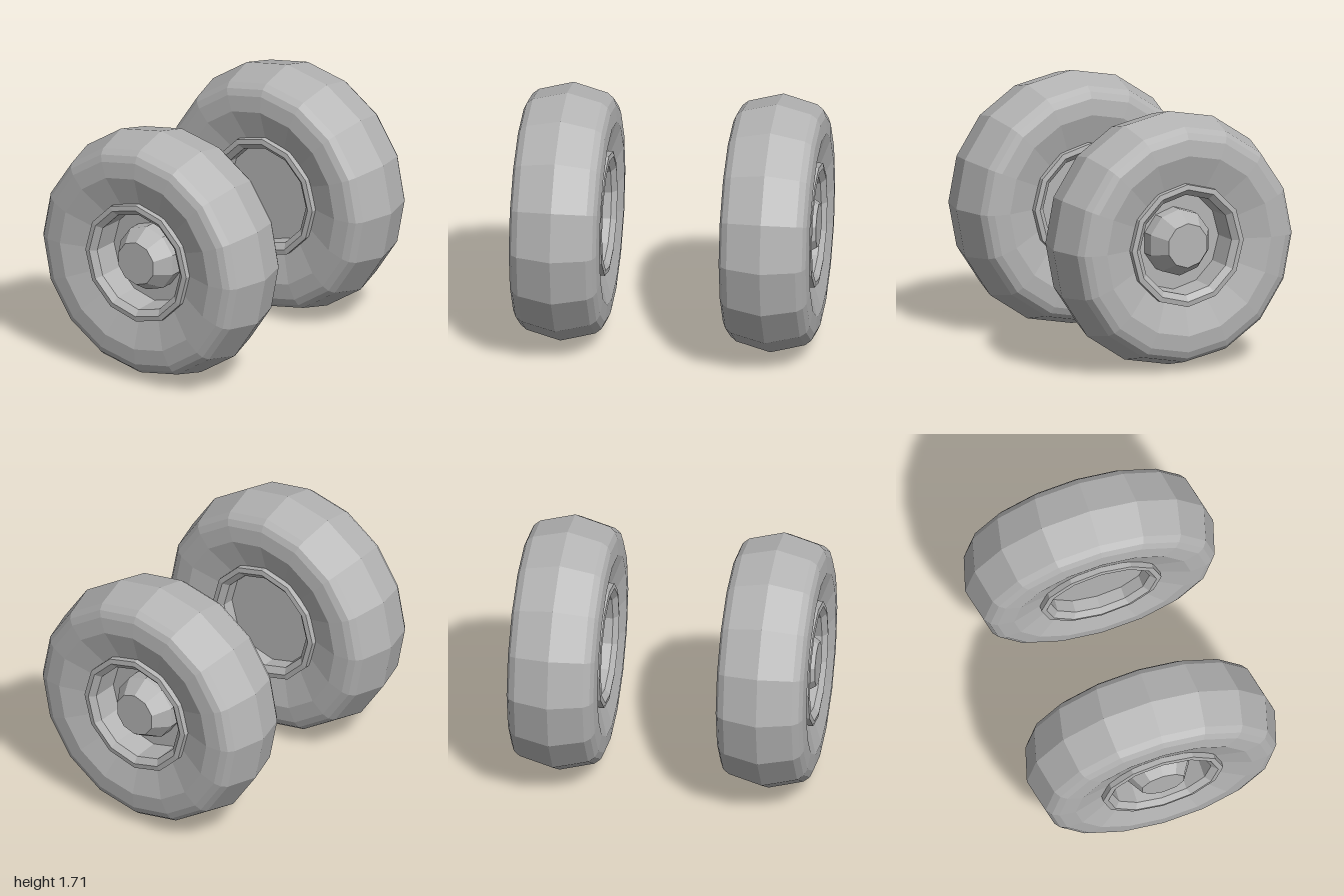
import * as THREE from 'three';

const R = 0.857; // wheel radius, also axle height

const grey = new THREE.MeshStandardMaterial({ color: 0xb4b4b4, flatShading: true });
grey.name = 'plain grey';

// Turn a [radius, z] profile around the axle (z); a profile going from -z to +z faces outward
function turned(name, profile, sides) {
  const geometry = new THREE.LatheGeometry(profile.map(([r, z]) => new THREE.Vector2(r, z)), sides);
  geometry.rotateX(Math.PI / 2);
  const mesh = new THREE.Mesh(geometry, grey);
  mesh.name = name;
  return mesh;
}

function createWheel(name) {
  const wheel = new THREE.Group();
  wheel.name = name;

  // Faceted tyre: crowned tread, rounded shoulders and dished sidewalls
  const half = [[0.857, 0], [0.797, 0.23], [0.765, 0.27], [0.72, 0.29], [0.61, 0.3], [0.37, 0.23]];
  const mirrored = half.slice(1).reverse().map(([r, z]) => [r, -z]);
  wheel.add(turned('tyre', [...mirrored, ...half], 16));

  // Rim: raised lip on both sides, shallow inner pan and deep outer pan
  wheel.add(turned('outerRim', [[0.415, 0.2], [0.415, 0.28], [0.38, 0.285], [0.34, 0.25], [0.335, 0.07], [0, 0.07]], 12));
  wheel.add(turned('innerRim', [[0, -0.17], [0.335, -0.17], [0.34, -0.25], [0.38, -0.285], [0.415, -0.28], [0.415, -0.2]], 12));

  // Tapered hub with a flat cap, on the outer side only
  wheel.add(turned('hub', [[0.225, 0.07], [0.225, 0.16], [0.15, 0.28], [0, 0.28]], 10));
  return wheel;
}

export function createModel() {
  const model = new THREE.Group();
  model.name = 'wheelPair';
  for (const side of [1, -1]) {
    const wheel = createWheel(side > 0 ? 'frontWheel' : 'backWheel');
    wheel.position.set(0, R, 0.7 * side);
    if (side < 0) wheel.rotation.y = Math.PI;
    model.add(wheel);
  }
  return model;
}
